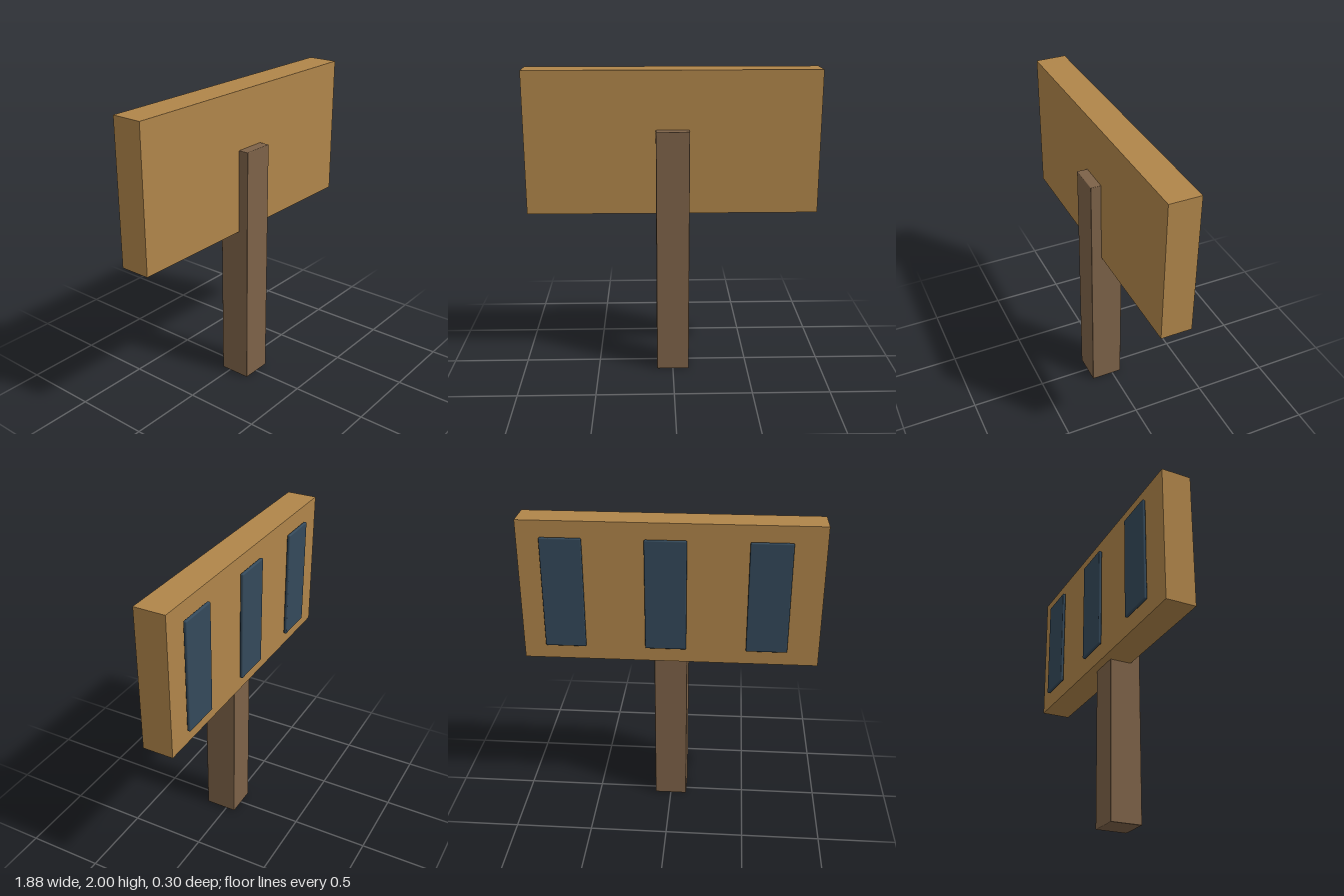
import * as THREE from 'three';
import { RoundedBoxGeometry } from 'three/addons/geometries/RoundedBoxGeometry.js';

const paint = (color) => new THREE.MeshStandardMaterial({ color });

export function createModel() {
  const model = new THREE.Group();
  const postWood = paint(0x7d6248);
  const boardWood = paint(0xb0854a);
  const slate = paint(0x34495a);

  const add = (name, geometry, material, x, y, z) => {
    const mesh = new THREE.Mesh(geometry, material);
    mesh.name = name;
    mesh.position.set(x, y, z);
    model.add(mesh);
  };

  // Square post, standing proud of the board's front
  add('post', new RoundedBoxGeometry(0.214, 1.625, 0.214, 2, 0.005), postWood, 0, 0.8125, 0.043);

  // Thick sign board
  add('board', new THREE.BoxGeometry(1.88, 0.92, 0.2), boardWood, 0, 1.54, -0.018);

  // Three thin plates floating just off the back of the board
  const plate = new RoundedBoxGeometry(0.26, 0.72, 0.022, 2, 0.008);
  [-0.61, 0.027, 0.665].forEach((x, i) => {
    add(`backPlate${i + 1}`, plate, slate, x, 1.54, -0.139);
  });

  return model;
}
